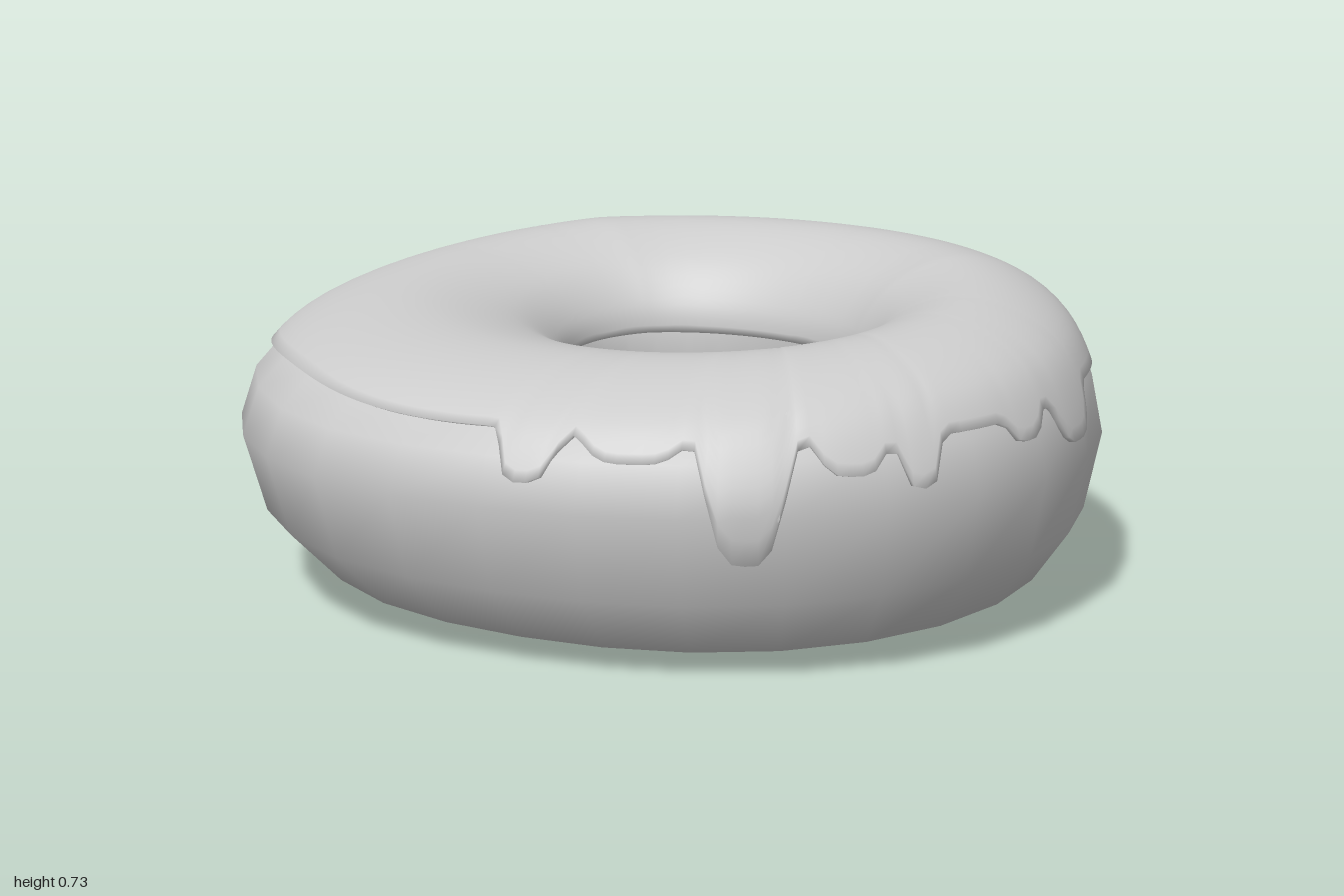
import * as THREE from 'three';

const MID = 0.38;
// Cross-section: [0 = hole wall .. 1 = outer wall, height], from outside over the top to the hole and under
const PROFILE = [
  [1, 0.38], [0.95, 0.52], [0.845, 0.63], [0.63, 0.705], [0.4, 0.72], [0.15, 0.655], [0.025, 0.56],
  [0, 0.49], [0.04, 0.34], [0.13, 0.16], [0.29, 0.06], [0.52, 0.03], [0.785, 0.08], [0.935, 0.2],
];
const curve = new THREE.CatmullRomCurve3(PROFILE.map(([f, y]) => new THREE.Vector3(f * 0.65, y, 0)), true);

// The crest is low at the front and levels off at the back
const topScale = (a) => (Math.min(0.726, 0.687 + 0.032 * Math.cos(a) - 0.05 * Math.sin(a)) - MID) / (0.72 - MID);

// Place a cross-section point (f, y) at angle a around the uneven ring
function place(a, f, y) {
  const c = Math.cos(a), s = Math.sin(a);
  const r = 0.984 + 0.016 * Math.cos(2 * a) + 0.06 * c * s * s + 0.012 * Math.sin(2 * a)
    + 0.026 * Math.exp(-(((a - 2.45) / 0.35) ** 2));
  const ix = 0.095 + 0.35 * Math.cos(a - 0.13), iz = -0.035 + 0.34 * Math.sin(a + 0.13);
  const base = 0.022 - 0.01 * s + 0.012 * Math.cos(2 * a);
  const k = y > MID ? topScale(a) : (MID - base) / (MID - 0.03);
  // the hole wall bulges inward on one side, below the rim
  const bulge = 0.11 * (1 - f) * Math.max(0, Math.cos(a - 3.7)) * Math.max(0, 1 - Math.abs(y - 0.34) / 0.14);
  const g = f - bulge;
  return [ix + (r * c - ix) * g, MID + (y - MID) * k, iz + (r * s - iz) * g];
}

// Skin a ring of cross-sections; section(a) returns points in the profile's order
function ring(name, count, section, closed) {
  const pos = [], index = [];
  let n = 0;
  for (let i = 0; i < count; i++) {
    const pts = section((i / count) * Math.PI * 2);
    n = pts.length;
    pts.forEach((p) => pos.push(...p));
  }
  for (let i = 0; i < count; i++) {
    for (let j = 0; j < (closed ? n : n - 1); j++) {
      const a = i * n + j, b = i * n + ((j + 1) % n);
      const i2 = ((i + 1) % count) * n, c = i2 + j, d = i2 + ((j + 1) % n);
      index.push(a, b, c, b, d, c);
    }
  }
  const g = new THREE.BufferGeometry();
  g.setAttribute('position', new THREE.Float32BufferAttribute(pos, 3));
  g.setIndex(index);
  g.computeVertexNormals();
  const m = new THREE.Mesh(g, new THREE.MeshStandardMaterial({ color: 0xcccccc, side: THREE.DoubleSide }));
  m.name = name;
  return m;
}

// Icing drips: [angle, half width, length]
const DRIPS = [
  [1.43, 0.09, 0.25], [1.92, 0.07, 0.1], [1.68, 0.12, 0.06], [1.2, 0.08, 0.07], [1.04, 0.05, 0.1],
  [0.5, 0.09, 0.1], [0.72, 0.06, 0.05], [-0.25, 0.11, 0.13], [-0.72, 0.08, 0.1],
  [-1.6, 0.09, 0.05], [-2.0, 0.1, 0.08], [-2.4, 0.12, 0.1],
];
function edgeHeight(a) {
  let y = 0.535 - 0.015 * Math.cos(a) + 0.01 * Math.sin(5 * a);
  for (const [c, w, len] of DRIPS) {
    const d = Math.atan2(Math.sin(a - c), Math.cos(a - c));
    y -= len * Math.exp(-Math.pow(d / w, 4));
  }
  return y;
}

// Icing cross-section: a thin shell from the dripping edge to the hole rim, tucked in at both ends
function icingSection(a) {
  const edge = edgeHeight(a);
  const target = edge > MID ? MID + (edge - MID) / topScale(a) : edge;
  let lo = -1.7 / PROFILE.length, hi = 2.5 / PROFILE.length;
  for (let i = 0; i < 20; i++) {
    const m = (lo + hi) / 2;
    if (curve.getPoint((m + 1) % 1).y < target) lo = m; else hi = m;
  }
  // one drip runs down inside the hole
  const end = (7 + 1.1 * Math.exp(-(((a - 2.9) / 0.35) ** 4))) / PROFILE.length;
  const pts = [], rows = 28;
  for (let j = -1; j <= rows + 1; j++) {
    const t = THREE.MathUtils.clamp(j / rows, 0, 1);
    const u = (lo + (end - lo) * t + 1) % 1;
    const p = curve.getPoint(u), tan = curve.getTangent(u);
    const off = j < 0 || j > rows ? -0.012 : 0.005;
    pts.push(place(a, (p.x + tan.y * off) / 0.65, p.y - tan.x * off));
  }
  return pts;
}

// Thin strip of icing spanning the hole
function strip(name, x1, z1, x2, z2, height, width) {
  const g = new THREE.BoxGeometry(Math.hypot(x2 - x1, z2 - z1), height, width);
  const m = new THREE.Mesh(g, new THREE.MeshStandardMaterial({ color: 0xcccccc }));
  m.position.set((x1 + x2) / 2, 0.48 - height / 2, (z1 + z2) / 2);
  m.rotation.y = -Math.atan2(z2 - z1, x2 - x1);
  m.name = name;
  return m;
}

export function createModel() {
  const group = new THREE.Group();
  group.name = 'doughnut';
  group.add(
    ring('dough', 28, (a) => PROFILE.map(([f, y]) => place(a, f, y)), true),
    ring('icing', 224, icingSection, false),
    strip('longIcingStrip', -0.25, -0.11, 0.11, 0.29, 0.06, 0.035),
    strip('shortIcingStrip', 0.27, 0.29, 0.44, 0.02, 0.015, 0.045),
  );
  return group;
}
